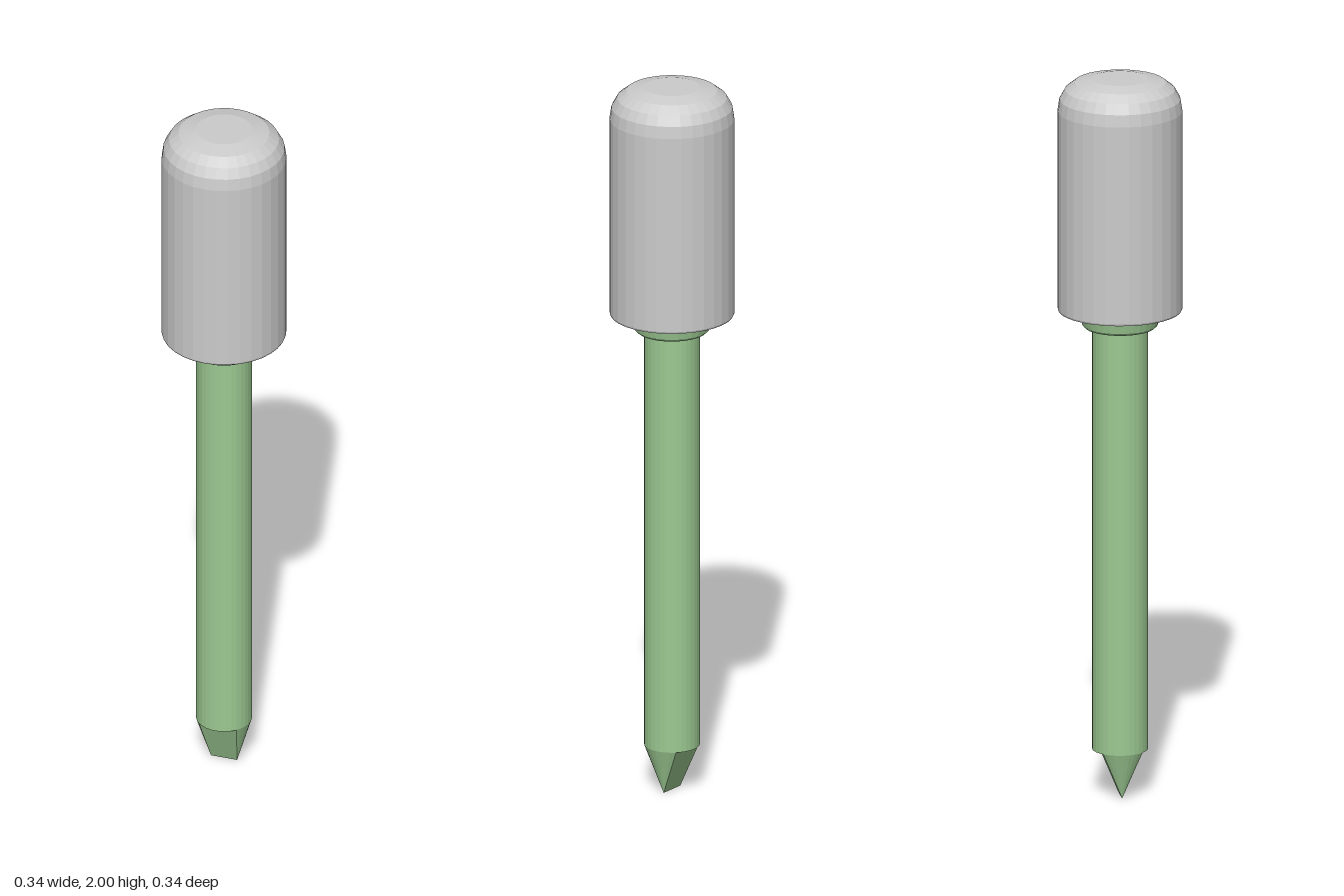
import * as THREE from 'three';
import { ConvexGeometry } from 'three/addons/geometries/ConvexGeometry.js';

const SIDES = 32;

export function createModel() {
  const model = new THREE.Group();
  model.name = 'screwdriver';
  const grey = new THREE.MeshStandardMaterial({ color: 0xcccccc, flatShading: true });
  const green = new THREE.MeshStandardMaterial({ color: 0x9cc992, flatShading: true });

  const add = (name, geometry, material) => {
    const mesh = new THREE.Mesh(geometry, material);
    mesh.name = name;
    model.add(mesh);
  };
  // Turned part from [radius, height] pairs, bottom to top
  const turned = (profile) =>
    new THREE.LatheGeometry(profile.map(([r, y]) => new THREE.Vector2(r, y)), SIDES);

  // Round-topped grip with a flat underside
  add('handle', turned([
    [0, 1.355], [0.166, 1.355], [0.168, 1.36], [0.168, 1.91], [0.163, 1.943],
    [0.148, 1.97], [0.122, 1.99], [0.075, 2], [0, 2],
  ]), grey);

  // Collar with a rounded lower edge
  add('collar', turned([
    [0, 1.308], [0.095, 1.308], [0.102, 1.315], [0.107, 1.34], [0.107, 1.36], [0, 1.36],
  ]), green);

  // Straight round shaft
  const radius = 0.075, tipTop = 0.13;
  add('shaft', turned([[0, tipTop], [radius, tipTop], [radius, 1.31], [0, 1.31]]), green);

  // Wedge blade: two arcs of the shaft's rim narrowing to a short straight edge
  const points = [];
  const steps = 8;
  for (const side of [-1, 1]) {
    points.push(new THREE.Vector3(side * 0.037, 0, 0));
    for (let i = 0; i <= steps; i++) {
      const angle = (i / steps - 0.5) * Math.PI / 2;
      points.push(new THREE.Vector3(
        side * radius * Math.cos(angle), tipTop, radius * Math.sin(angle)));
    }
  }
  add('bladeTip', new ConvexGeometry(points), green);

  return model;
}
